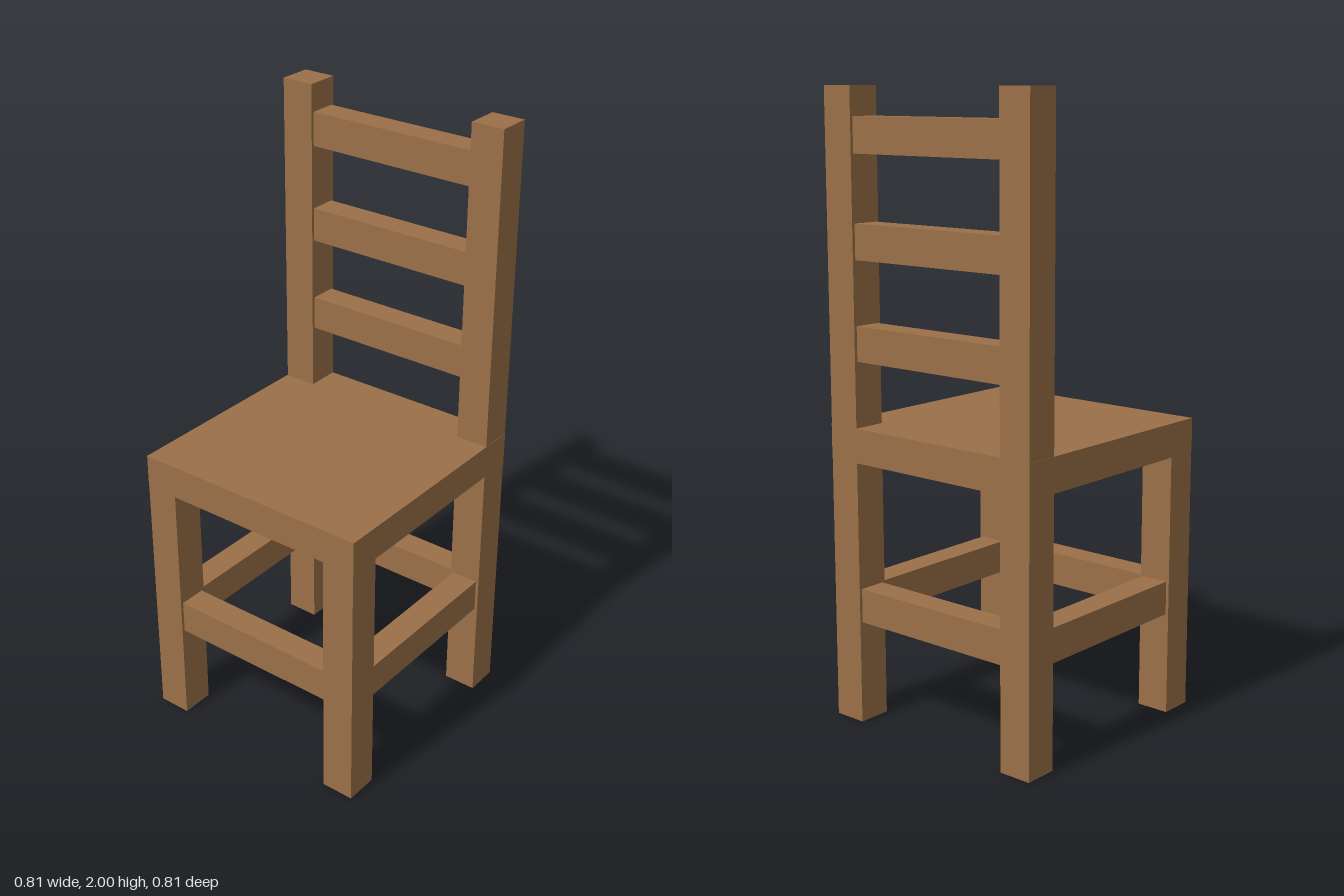
import * as THREE from 'three';

export function createModel() {
  const group = new THREE.Group();
  const wood = new THREE.MeshStandardMaterial({ color: 0x9b7048 });
  wood.name = 'wood';

  // Adds a box given its size and centre
  function bar(name, [w, h, d], [x, y, z]) {
    const mesh = new THREE.Mesh(new THREE.BoxGeometry(w, h, d), wood);
    mesh.name = name;
    mesh.position.set(x, y, z);
    group.add(mesh);
  }

  const post = 0.11;    // thickness of legs, seat and rail height
  const rail = 0.09;    // rail depth, slightly slimmer than the posts
  const c = 0.348;      // leg centre offset
  const span = 2 * c - post;

  bar('seat', [0.808, post, 0.806], [0, 0.907, 0]);

  // Legs, back posts and side stretchers
  for (const [side, s] of [['left', 1], ['right', -1]]) {
    bar(`${side}FrontLeg`, [post, 0.86, post], [s * c, 0.43, c]);
    bar(`${side}BackPost`, [post, 2, post], [s * c, 1, -c]);
    bar(`${side}Stretcher`, [rail, post, span], [s * c, 0.387, 0]);
  }

  // Front and back stretchers
  bar('frontStretcher', [span, post, rail], [0, 0.387, c]);
  bar('backStretcher', [span, post, rail], [0, 0.387, -c]);

  // Ladder back slats
  [1.225, 1.537, 1.855].forEach((y, i) => bar(`backSlat${i + 1}`, [span, post, rail], [0, y, -c]));

  return group;
}
